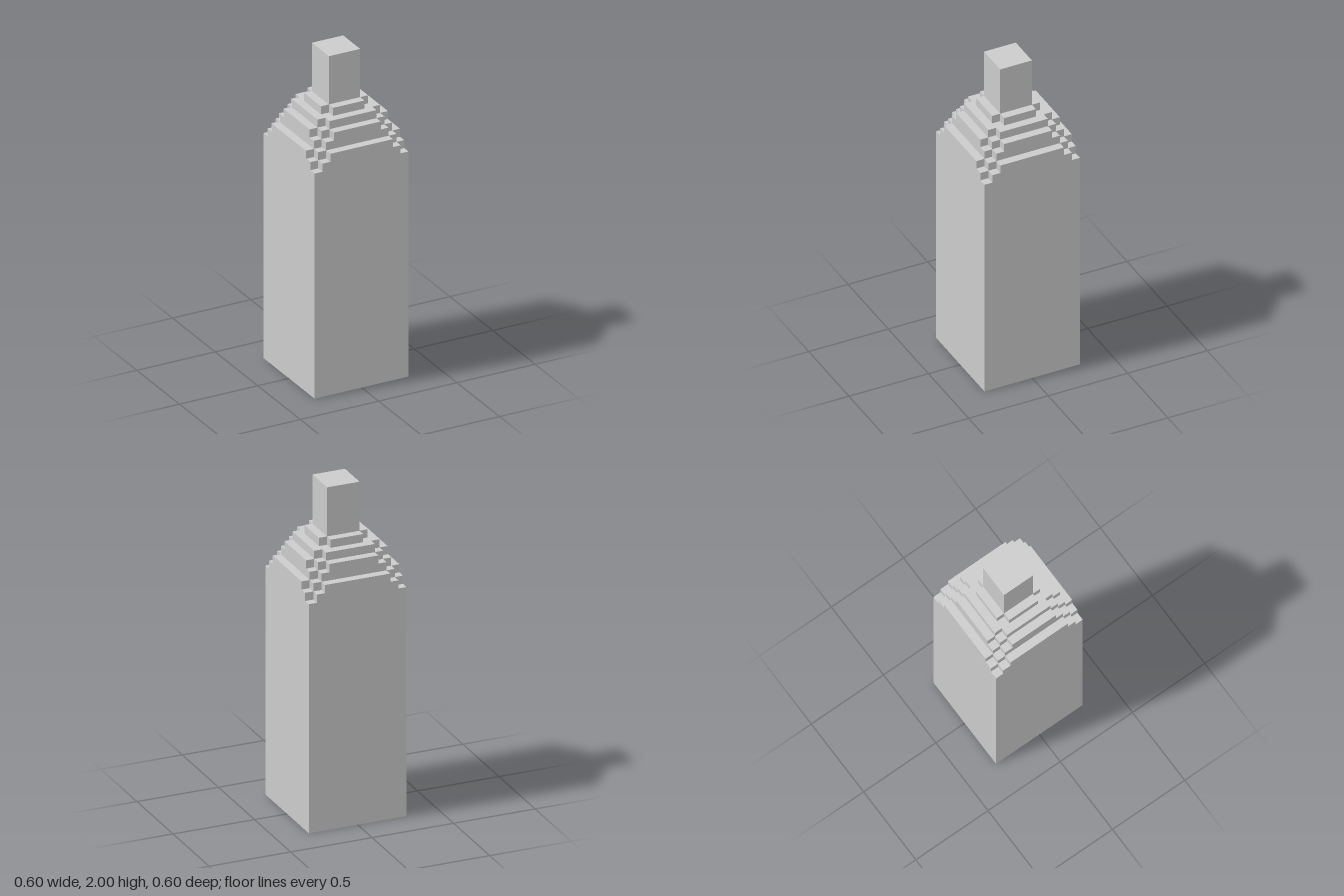
import * as THREE from 'three';

// Each layer: name, bottom, top, and the outer corners of its stepped plan in one quadrant
const LAYERS = [
  ['body', 0, 1.4, [[0.3, 0.3]]],
  ['lowerShoulder', 1.4, 1.45, [[0.3, 0.25], [0.25, 0.3]]],
  ['lowerShoulderRim', 1.45, 1.5, [[0.3, 0.2], [0.25, 0.25], [0.2, 0.3]]],
  ['middleShoulder', 1.5, 1.55, [[0.25, 0.2], [0.2, 0.25]]],
  ['middleShoulderRim', 1.55, 1.6, [[0.25, 0.15], [0.2, 0.2], [0.15, 0.25]]],
  ['upperShoulder', 1.6, 1.65, [[0.2, 0.15], [0.15, 0.2]]],
  ['collar', 1.65, 1.7, [[0.15, 0.1], [0.1, 0.15]]],
  ['neck', 1.7, 2, [[0.1, 0.1]]],
];

// Stepped outline: one quadrant repeated by quarter turns
function steppedShape(corners) {
  const quadrant = [];
  corners.forEach(([x, y], i) => {
    quadrant.push([x, y]);
    if (i < corners.length - 1) quadrant.push([corners[i + 1][0], y]); // inner corner
  });
  const points = [];
  for (let turn = 0; turn < 4; turn++) {
    for (let [x, y] of quadrant) {
      for (let k = 0; k < turn; k++) [x, y] = [-y, x];
      points.push(new THREE.Vector2(x, y));
    }
  }
  return new THREE.Shape(points);
}

export function createModel() {
  const model = new THREE.Group();
  model.name = 'steppedBottle';
  const material = new THREE.MeshStandardMaterial({ color: 0xcccccc, flatShading: true });

  for (const [name, bottom, top, corners] of LAYERS) {
    const geometry = new THREE.ExtrudeGeometry(steppedShape(corners), {
      depth: top - bottom,
      bevelEnabled: false,
    });
    geometry.rotateX(-Math.PI / 2);
    const mesh = new THREE.Mesh(geometry, material);
    mesh.name = name;
    mesh.position.y = bottom;
    model.add(mesh);
  }
  return model;
}
